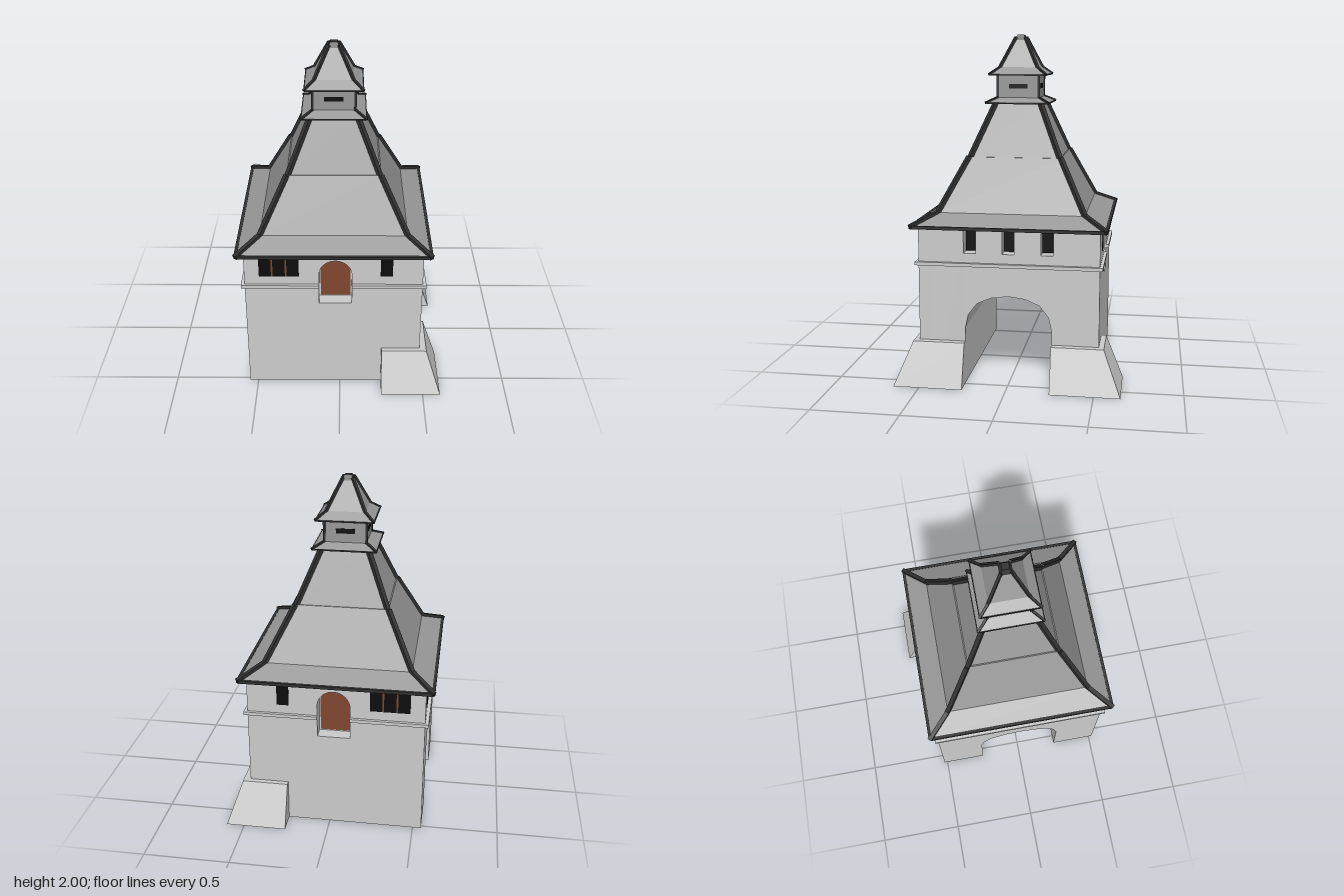
import * as THREE from 'three';

const mat = (color) => new THREE.MeshStandardMaterial({ color, flatShading: true, side: THREE.DoubleSide });
const CX = -0.035; // tower axis
const X0 = -0.55, X1 = 0.48, ZW = 0.52, TOP = 0.92, REC = 0.08;

export function createModel() {
  const model = new THREE.Group();
  const stone = mat(0xcccccc), slate = mat(0x989898), dark = mat(0x303030);
  const black = mat(0x0c0c0c), wood = mat(0x80472f);

  const add = (name, geo, material, parent = model) => {
    const m = new THREE.Mesh(geo, material);
    m.name = name;
    parent.add(m);
    return m;
  };
  // box from min and max corners
  const box = (name, a, b, material, parent) => {
    const g = new THREE.BoxGeometry(b[0] - a[0], b[1] - a[1], b[2] - a[2]);
    g.translate((a[0] + b[0]) / 2, (a[1] + b[1]) / 2, (a[2] + b[2]) / 2);
    return add(name, g, material, parent);
  };
  const extrude = (shape, depth) => new THREE.ExtrudeGeometry(shape, { depth, bevelEnabled: false, curveSegments: 12 });
  const rect = (x0, y0, x1, y1, T = THREE.Path) =>
    new T([[x0, y0], [x1, y0], [x1, y1], [x0, y1]].map((p) => new THREE.Vector2(...p)));

  // Walls: gate passage running along x
  const arch = [[0.25, 0], [0.25, 0.33], [0.232, 0.41], [0.18, 0.477], [0.1, 0.512], [0, 0.525]];
  const gateProfile = (half) => {
    const left = arch.slice(0, -1).reverse().map(([u, v]) => [-u, v]);
    const pts = [...arch, ...left, [-half, 0], [-half, TOP], [half, TOP], [half, 0]];
    return new THREE.Shape(pts.map((p) => new THREE.Vector2(...p)));
  };
  const zIn = ZW - REC;
  add('towerCore', extrude(gateProfile(zIn), X1 - REC - X0).rotateY(Math.PI / 2).translate(X0, 0, 0), stone);

  // Gate wall with three deep slots
  const gateWall = gateProfile(zIn);
  for (const z of [-0.222, 0, 0.222]) {
    gateWall.holes.push(rect(z - 0.035, 0.77, z + 0.035, 0.912));
    box('slotBack', [X1 - REC - 0.01, 0.77, z - 0.035], [X1 - REC + 0.004, 0.912, z + 0.035], black);
  }
  add('gateWall', extrude(gateWall, REC).rotateY(Math.PI / 2).translate(X1 - REC, 0, 0), stone);

  // Front and back walls with arched doorway and windows
  const doorway = (inset, T) => {
    const s = new T(), x = -0.025, r = 0.095 - inset;
    s.moveTo(x - r, 0.58 + inset);
    s.lineTo(x + r, 0.58 + inset);
    s.lineTo(x + r, 0.778);
    s.absarc(x, 0.778, r, 0, Math.PI, false);
    s.closePath();
    return s;
  };
  for (const s of [1, -1]) {
    const zBox = (name, x0, y0, x1, y1, za, zb, material) =>
      box(name, [x0, y0, Math.min(s * za, s * zb)], [x1, y1, Math.max(s * za, s * zb)], material);
    const wall = rect(X0, 0, X1, TOP, THREE.Shape);
    wall.holes.push(doorway(0, THREE.Path));
    add('doorWall', extrude(wall, REC).translate(0, 0, s > 0 ? zIn : -ZW), stone);
    add('door', new THREE.ShapeGeometry(doorway(0.008, THREE.Shape)).translate(0, 0, s * (zIn + 0.006)), wood);

    zBox('singleWindow', 0.235, 0.77, 0.305, 0.912, ZW - 0.02, ZW + 0.003, black);
    for (let i = 0; i < 3; i++) {
      const x = -0.465 + i * 0.08;
      zBox('windowPane', x, 0.77, x + 0.07, 0.912, ZW - 0.02, ZW + 0.003, black);
      if (i) zBox('windowMullion', x - 0.01, 0.77, x, 0.912, ZW - 0.02, ZW + 0.004, wood);
    }
    // string course, broken by the doorway
    zBox('stringCourse', X0 - 0.02, 0.695, -0.12, 0.715, ZW - 0.01, ZW + 0.018, stone);
    zBox('stringCourse', 0.07, 0.695, X1 + 0.02, 0.715, ZW - 0.01, ZW + 0.018, stone);

    // sloped corner buttress
    const g = new THREE.BoxGeometry(1, 1, 1).toNonIndexed();
    const p = g.attributes.position;
    for (let i = 0; i < p.count; i++) {
      const low = p.getY(i) < 0;
      const x = p.getX(i) < 0 ? 0.25 : low ? 0.605 : 0.52;
      const outer = p.getZ(i) * s > 0;
      p.setXYZ(i, x, low ? 0 : 0.25, s * (outer ? (low ? 0.65 : 0.55) : 0.25));
    }
    g.computeVertexNormals();
    add('buttress', g, stone);
  }
  for (const [a, b] of [[X0 - 0.02, X0 + 0.01], [X1 - 0.01, X1 + 0.02]])
    box('stringCourse', [a, 0.695, -ZW], [b, 0.715, ZW], stone);
  // wide windows on the side away from the buttresses
  for (const z of [-0.315, 0, 0.315])
    box('wideWindow', [X0 - 0.004, 0.77, z - 0.122], [X0 + 0.02, 0.912, z + 0.122], black);

  // Roof
  const roof = new THREE.Group();
  roof.name = 'roof';
  roof.position.x = CX;
  model.add(roof);
  const beam = (name, a, b, w) => {
    const A = new THREE.Vector3(...a), B = new THREE.Vector3(...b);
    const m = new THREE.Mesh(new THREE.BoxGeometry(w, w, A.distanceTo(B)), dark);
    m.name = name;
    m.position.copy(A).add(B).multiplyScalar(0.5);
    m.lookAt(B);
    roof.add(m);
  };
  // square tier with bars along its four hips
  const tier = (name, h0, y0, h1, y1, w) => {
    const g = new THREE.CylinderGeometry(h1 * Math.SQRT2, h0 * Math.SQRT2, y1 - y0, 4);
    g.rotateY(Math.PI / 4).translate(0, (y0 + y1) / 2, 0);
    add(name, g, slate, roof);
    for (const sx of [1, -1]) for (const sz of [1, -1])
      beam('hipBar', [sx * h0, y0, sz * h0], [sx * h1, y1, sz * h1], w);
  };
  const eaveTrim = (h, y, w) => {
    for (const s of [1, -1]) {
      beam('eaveTrim', [-h, y, s * h], [h, y, s * h], w);
      beam('eaveTrim', [s * h, y, -h], [s * h, y, h], w);
    }
  };
  tier('eaveTier', 0.558, 0.92, 0.425, 0.985, 0.026);
  eaveTrim(0.555, 0.919, 0.018);
  tier('lowerTier', 0.425, 0.985, 0.27, 1.292, 0.026);
  tier('upperTier', 0.264, 1.29, 0.13, 1.61, 0.026);
  tier('lanternSkirt', 0.186, 1.603, 0.125, 1.632, 0.014);
  eaveTrim(0.184, 1.601, 0.008);
  tier('lantern', 0.122, 1.6, 0.122, 1.78, 0.014);
  tier('capEave', 0.168, 1.768, 0.112, 1.81, 0.014);
  eaveTrim(0.166, 1.766, 0.008);
  tier('capRoof', 0.112, 1.81, 0.028, 1.985, 0.016);
  const finial = new THREE.CylinderGeometry(0.02 * Math.SQRT2, 0.036 * Math.SQRT2, 0.03, 4);
  add('finial', finial.rotateY(Math.PI / 4).translate(0, 1.985, 0), dark, roof);

  // lantern slots on all four sides
  box('lanternSlot', [-0.055, 1.685, -0.125], [0.055, 1.713, 0.125], black, roof);
  box('lanternSlot', [-0.125, 1.685, -0.055], [0.125, 1.713, 0.055], black, roof);

  return model;
}
